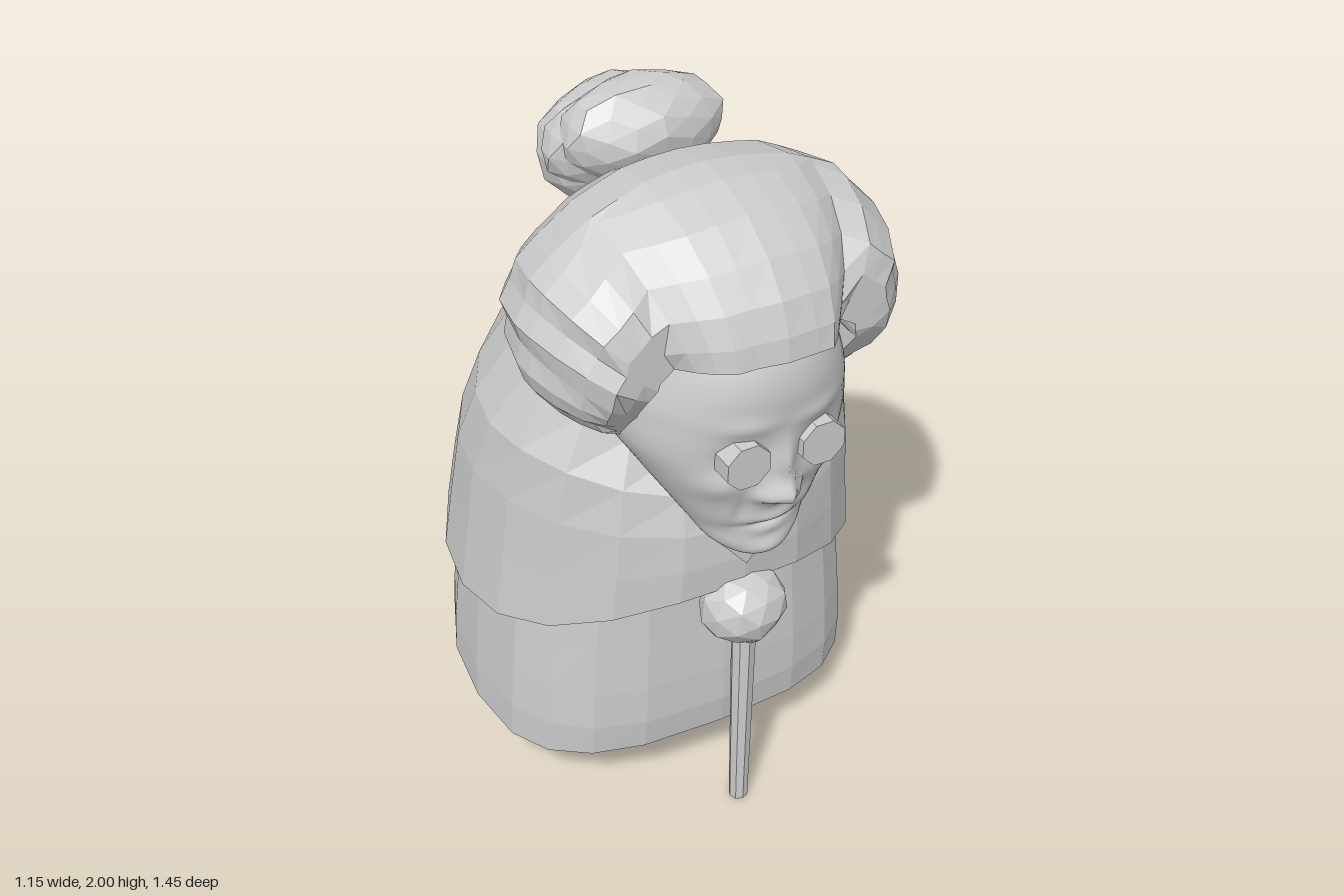
import * as THREE from 'three';

const faceted = new THREE.MeshStandardMaterial({ color: 0xcccccc, flatShading: true });
const cloth = new THREE.MeshStandardMaterial({ color: 0xcccccc, flatShading: true, side: THREE.DoubleSide });
const skin = new THREE.MeshStandardMaterial({ color: 0xcccccc });

function add(parent, name, geometry, material, x = 0, y = 0, z = 0) {
  const mesh = new THREE.Mesh(geometry, material);
  mesh.name = name;
  mesh.position.set(x, y, z);
  parent.add(mesh);
  return mesh;
}

const power = (t, e) => Math.sign(t) * Math.abs(t) ** e;

// Skin between closed rings of n points, listed from bottom to top (or front to back)
function loft(rows, n, point) {
  const pos = [], idx = [];
  rows.forEach((row, i) => {
    for (let j = 0; j < n; j++) {
      pos.push(...point(row, (j / n) * Math.PI * 2));
      if (i === rows.length - 1) continue;
      const a = i * n + j, b = i * n + ((j + 1) % n);
      idx.push(a, b, b + n, a, b + n, a + n);
    }
  });
  const g = new THREE.BufferGeometry();
  g.setAttribute('position', new THREE.Float32BufferAttribute(pos, 3));
  g.setIndex(idx);
  g.computeVertexNormals();
  return g;
}

// Garment ring: half width, widest z, front z, back z, heights at side, front, back;
// an exponent below 1 squares off the front
const garmentPoint = (frontPower) => ([w, zc, zf, zb, ys, yf, yb], a) => {
  const s = Math.sin(a), c = Math.cos(a), k = Math.abs(c) ** 2.5;
  const front = c > 0;
  return [
    w * (front ? power(s, frontPower) : s),
    ys + ((front ? yf : yb) - ys) * k,
    zc + (front ? (zf - zc) * power(c, frontPower) : (zc - zb) * c),
  ];
};

// Uneven low-poly ball
function lump(rx, ry, rz, detail) {
  const g = new THREE.IcosahedronGeometry(1, detail);
  const p = g.attributes.position, v = new THREE.Vector3();
  for (let i = 0; i < p.count; i++) {
    v.fromBufferAttribute(p, i);
    const k = 1 + 0.04 * Math.sin(9 * v.x + 5 * v.y + 1) * Math.sin(7 * v.z + 3 * v.x) + 0.03 * Math.sin(11 * v.y - 6 * v.z);
    p.setXYZ(i, v.x * rx * k, v.y * ry * k, v.z * rz * k);
  }
  g.computeVertexNormals();
  return g;
}

// Face relief: x, y, spread x, spread y, height (mirrored when x is not 0)
const relief = [
  [0, 1.28, 0.028, 0.06, 0.035], // nose bridge
  [0, 1.198, 0.036, 0.04, 0.07], // nose tip
  [0.045, 1.185, 0.02, 0.02, 0.025], // nostrils
  [0.105, 1.31, 0.055, 0.05, -0.02], // eye sockets
  [0.1, 1.41, 0.07, 0.025, 0.01], // brows
  [0.16, 1.22, 0.06, 0.045, 0.02], // cheeks
  [0.085, 1.13, 0.018, 0.045, -0.012], // cheek folds
  [0, 1.095, 0.055, 0.018, 0.012], // upper lip
  [0, 1.067, 0.07, 0.009, -0.012], // mouth line
  [0, 1.042, 0.05, 0.016, 0.008], // lower lip
  [0, 0.985, 0.05, 0.022, 0.01], // chin
];

function faceGeometry() {
  // Half width, height, front z
  const profile = new THREE.CatmullRomCurve3([
    [0.004, 0.942, 0.555], [0.08, 0.965, 0.605], [0.127, 1.0, 0.61], [0.16, 1.05, 0.608],
    [0.192, 1.1, 0.628], [0.255, 1.2, 0.642], [0.31, 1.3, 0.658], [0.32, 1.4, 0.67],
    [0.29, 1.5, 0.677], [0.25, 1.59, 0.655], [0.2, 1.7, 0.58],
  ].map((p) => new THREE.Vector3(...p)));
  return loft(profile.getPoints(90), 96, ({ x: w, y, z: zf }, a) => {
    const back = Math.max(0.25, 0.54 - Math.max(0, y - 0.942) * 0.66);
    const c = Math.cos(a), x = w * power(Math.sin(a), 0.9);
    let z = back + (c > 0 ? (zf - back) * power(c, 0.9) : 0.05 * c);
    if (c > 0) {
      for (const [bx, by, sx, sy, h] of relief) {
        const d = bx ? Math.abs(x) - bx : x;
        z += h * Math.exp(-((d / sx) ** 2) - ((y - by) / sy) ** 2) * Math.min(1, c * 3);
      }
    }
    return [x, y, z];
  });
}

// Combed hair: strands run from the hairline over the widest outline to the back of the head
function hairGeometry() {
  const strands = 40;
  const rows = [-1, 0, 0.12, 0.28, 0.46, 0.66, 0.86, 1, 1.2, 1.4, 1.6, 1.8, 2];
  return loft(rows, strands, (t, a) => {
    const s = Math.sin(a), c = Math.cos(a);
    // Hairline, in units of the hair ellipsoid (0.515 x 0.36 x 0.42)
    const hx = (0.29 * power(s, 0.7)) / 0.515;
    const hy = (-0.15 + (c > 0 ? 0.18 * Math.sqrt(c) : 0.15 * c)) / 0.36;
    const f = Math.sin((Math.min(1, Math.max(0, t)) * Math.PI) / 2);
    const back = Math.max(0, t - 1) * (Math.PI / 2);
    const ridge = 1 + (0.006 + 0.014 * s * s) * Math.cos((strands / 2) * a) * Math.cos(3 * a + t)
      + 0.014 * Math.sin(7 * a + 3 * t);
    const nx = (hx + (s - hx) * f) * Math.cos(back);
    const ny = (hy + (c - hy) * f) * Math.cos(back);
    const depth = Math.sqrt(Math.max(0, 1 - nx * nx - ny * ny));
    const x = 0.515 * nx * ridge;
    let y = 1.55 + 0.36 * ny * (ny > 0 ? 1 + (ridge - 1) * 0.5 : ridge);
    let z = 0.25 + 0.42 * (t > 1 ? -depth : depth * ridge);
    if (t < 0) z = 0.36; // inner edge behind the face
    // Parting between the front wave and the side rolls
    const side = Math.abs(Math.atan2(s, c));
    if (t < 1) z -= 0.06 * Math.exp(-(((side - 0.62) / 0.16) ** 2));
    // Rounded front of the side rolls
    if (side > 0.75) z = Math.min(z, 0.53, 0.54 + (y - 1.5) * 0.75);
    if (z < 0.25 && y > 1.55) y -= 0.1 * ((0.25 - z) / 0.42) ** 2;
    return [x, Math.max(y, 1.25 + (0.32 - z) * 0.56), z];
  });
}

export function createModel() {
  const model = new THREE.Group();
  model.name = 'oldWomanWithCane';

  // Clothing
  add(model, 'skirt', loft([
    [0.55, -0.05, 0.4, -0.735, 0.165, 0.195, 0.165],
    [0.548, -0.05, 0.412, -0.715, 0.28, 0.29, 0.28],
    [0.538, -0.05, 0.412, -0.69, 0.41, 0.41, 0.41],
    [0.522, -0.05, 0.405, -0.64, 0.58, 0.58, 0.58],
    [0.5, -0.05, 0.4, -0.58, 0.75, 0.8, 0.78],
  ], 20, garmentPoint(0.72)), cloth);
  add(model, 'cape', loft([
    [0.577, -0.04, 0.5, -0.62, 0.6, 0.78, 0.77],
    [0.555, -0.03, 0.505, -0.575, 0.8, 0.87, 0.93],
    [0.538, -0.01, 0.5, -0.505, 1.0, 0.97, 1.11],
    [0.507, 0.05, 0.47, -0.415, 1.18, 1.07, 1.3],
    [0.425, 0.1, 0.4, -0.355, 1.34, 1.16, 1.4],
    [0.3, 0.1, 0.33, -0.285, 1.43, 1.24, 1.485],
    [0.15, 0.05, 0.22, -0.17, 1.48, 1.34, 1.525],
    [0.001, 0, 0.001, -0.001, 1.5, 1.5, 1.5],
  ], 20, garmentPoint(1)), cloth);
  const vee = new THREE.Shape([[0, 0.85], [0.1, 0.97], [-0.1, 0.97]].map((p) => new THREE.Vector2(...p)));
  add(model, 'collarInsert', new THREE.ExtrudeGeometry(vee, { depth: 0.012, bevelEnabled: false }), faceted, 0, 0, 0.497);

  // Feet
  const footProfile = [[0, 0.01], [0.035, 0.016], [0.065, 0.045], [0.085, 0.1], [0.096, 0.165], [0.09, 0.2], [0, 0.2]]
    .map((p) => new THREE.Vector2(...p));
  for (const [side, name] of [[1, 'leftFoot'], [-1, 'rightFoot']]) {
    const foot = add(model, name, new THREE.LatheGeometry(footProfile, 12), faceted, side * 0.295, 0, 0.01);
    foot.scale.x = 0.84;
  }

  // Cane and the hands folded over it
  add(model, 'cane', new THREE.CylinderGeometry(0.035, 0.027, 0.68, 8), faceted, 0, 0.34, 0.505);
  const hands = add(model, 'hands', lump(0.122, 0.118, 0.105, 1), faceted, 0.005, 0.693, 0.49);
  hands.rotation.set(0.5, 0, 0.2);

  // Head
  const head = new THREE.Group();
  head.name = 'head';
  model.add(head);
  add(head, 'face', faceGeometry(), skin);
  for (const [side, name] of [[1, 'leftEye'], [-1, 'rightEye']]) {
    const disc = new THREE.CylinderGeometry(0.064, 0.064, 0.09, 8).rotateX(Math.PI / 2).rotateZ(Math.PI / 8);
    add(head, name, disc, faceted, side * 0.105, 1.312, 0.632);
  }
  add(head, 'hair', hairGeometry(), cloth);

  // Bun in overlapping coils
  add(head, 'bunTop', lump(0.225, 0.138, 0.135, 2), faceted, 0, 1.862, -0.065);
  add(head, 'bunMiddle', lump(0.25, 0.14, 0.13, 2), faceted, 0, 1.815, -0.12);
  add(head, 'bunBack', lump(0.235, 0.175, 0.17, 2), faceted, 0, 1.775, -0.172);
  return model;
}
